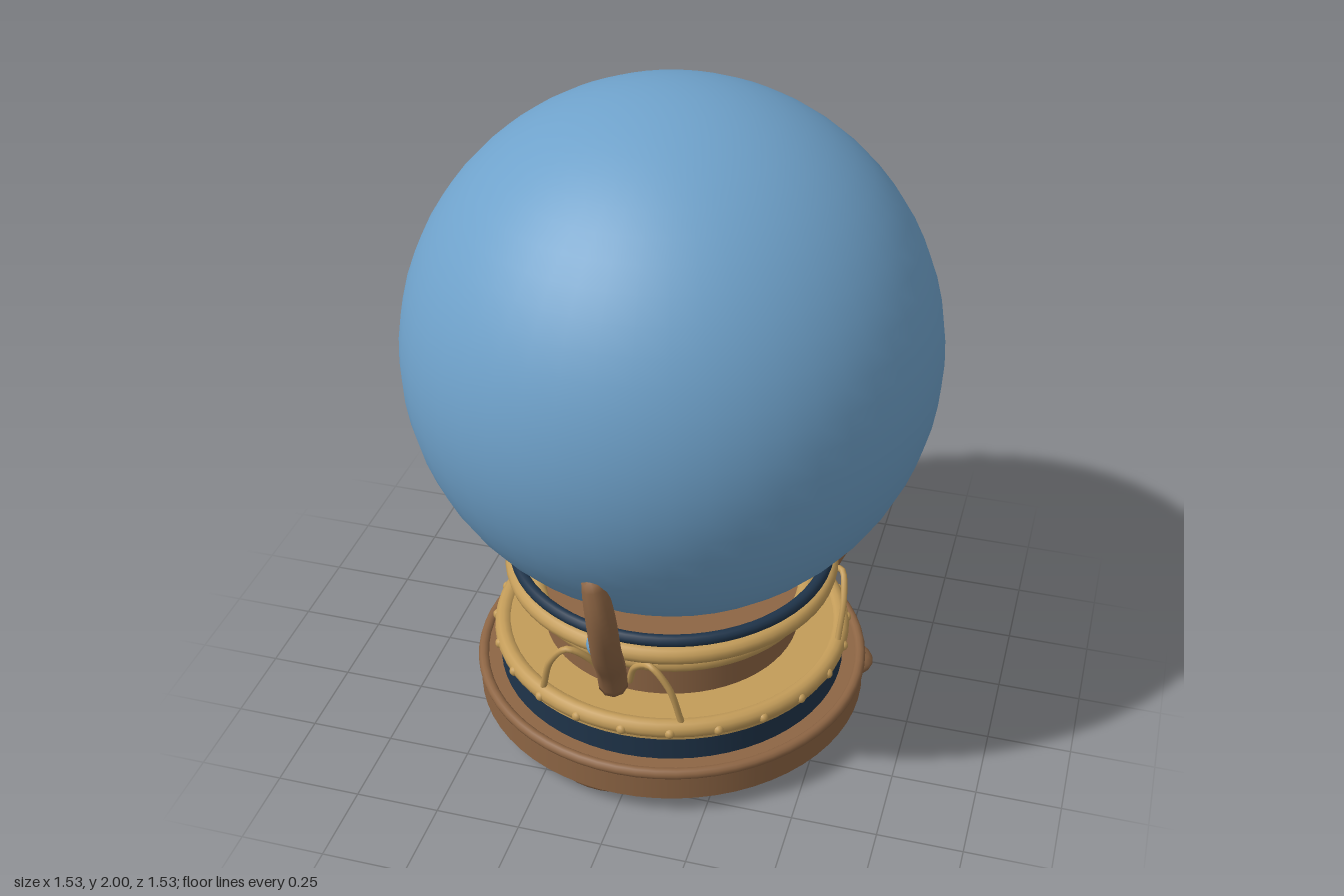
import * as THREE from 'three';

const mat = (name, color) => {
  const m = new THREE.MeshStandardMaterial({ color });
  m.name = name;
  return m;
};

export function createModel() {
  const blue = mat('glass blue', 0x6fa2cb);
  const wood = mat('warm wood', 0x8d6544);
  const gold = mat('brass', 0xc39c59);
  const navy = mat('dark navy', 0x1f344a);

  const model = new THREE.Group();
  model.name = 'crystalBallOnStand';

  const add = (parent, name, geometry, material, x = 0, y = 0, z = 0) => {
    const mesh = new THREE.Mesh(geometry, material);
    mesh.name = name;
    mesh.position.set(x, y, z);
    parent.add(mesh);
    return mesh;
  };
  const disc = (name, r, y0, y1, material) =>
    add(model, name, new THREE.CylinderGeometry(r, r, y1 - y0, 64), material, 0, (y0 + y1) / 2, 0);
  const ring = (name, r, tube, y, material) =>
    add(model, name, new THREE.TorusGeometry(r, tube, 12, 64).rotateX(Math.PI / 2), material, 0, y, 0);
  const curve = (points) => new THREE.CatmullRomCurve3(points.map((p) => new THREE.Vector3(...p)));

  // Ball
  add(model, 'ball', new THREE.SphereGeometry(0.765, 48, 32), blue, 0, 1.235, 0);

  // Stacked base
  disc('baseDisc', 0.595, 0.06, 0.155, wood);
  ring('baseRim', 0.585, 0.017, 0.148, wood);
  disc('navyBand', 0.53, 0.155, 0.228, navy);
  disc('brassPlate', 0.53, 0.228, 0.28, gold);
  ring('brassPlateRim', 0.518, 0.028, 0.262, gold);
  disc('drum', 0.39, 0.28, 0.42, wood);
  ring('drumRing', 0.412, 0.028, 0.418, gold);

  // Open cradle rings below the ball
  ring('cradleRing', 0.475, 0.028, 0.498, gold);
  ring('cradleNavyRing', 0.473, 0.018, 0.547, navy);

  // Beads around the plate
  const bead = new THREE.SphereGeometry(0.016, 12, 8);
  for (let i = 0; i < 24; i++) {
    const a = (i / 24) * Math.PI * 2;
    add(model, 'bead', bead, gold, 0.538 * Math.sin(a), 0.26, 0.538 * Math.cos(a));
  }

  // Tapered claw: a tube whose rings are scaled about the path
  const clawPath = curve([
    [-0.055, 0.315, 0.43], [-0.045, 0.43, 0.485], [-0.022, 0.58, 0.595],
    [-0.018, 0.75, 0.652], [-0.04, 0.9, 0.657],
  ]);
  const steps = 28, sides = 10;
  const claw = new THREE.TubeGeometry(clawPath, steps, 1, sides);
  const pos = claw.attributes.position;
  const v = new THREE.Vector3();
  for (let i = 0; i <= steps; i++) {
    const u = i / steps;
    const c = clawPath.getPointAt(u);
    const end = i === 0 || i === steps;
    const r = end ? 0 : 0.044 - 0.018 * Math.pow(u, 8);
    for (let j = 0; j <= sides; j++) {
      const k = i * (sides + 1) + j;
      v.fromBufferAttribute(pos, k).sub(c).multiplyScalar(r).add(c);
      pos.setXYZ(k, v.x, v.y, v.z);
    }
  }
  claw.computeVertexNormals();

  // Wire arches either side of a claw
  const arches = [
    [[-0.265, 0.285, 0.45], [-0.23, 0.41, 0.475], [-0.175, 0.473, 0.485], [-0.118, 0.43, 0.46], [-0.085, 0.34, 0.42]],
    [[0.165, 0.285, 0.49], [0.13, 0.41, 0.5], [0.075, 0.473, 0.495], [0.02, 0.43, 0.46], [-0.01, 0.34, 0.42]],
  ].map((p) => new THREE.TubeGeometry(curve(p), 24, 0.01, 8));

  const gem = new THREE.SphereGeometry(0.044, 20, 14);
  const foot = new THREE.SphereGeometry(1, 24, 14).scale(0.16, 0.05, 0.1);

  // Three claw sets around the stand
  for (let i = 0; i < 3; i++) {
    const a = (i * Math.PI * 2) / 3;
    const set = new THREE.Group();
    set.name = 'clawSet';
    set.rotation.y = a;
    model.add(set);
    add(set, 'claw', claw, wood);
    arches.forEach((g) => add(set, 'wireArch', g, gold));
    add(set, 'gem', gem, blue, -0.07, 0.518, 0.488);

    // Feet all stretch sideways, whatever their place
    const p = new THREE.Vector3(-0.06, 0.055, 0.48).applyAxisAngle(new THREE.Vector3(0, 1, 0), a);
    add(model, 'foot', foot, wood, p.x, p.y, p.z);
  }

  return model;
}
